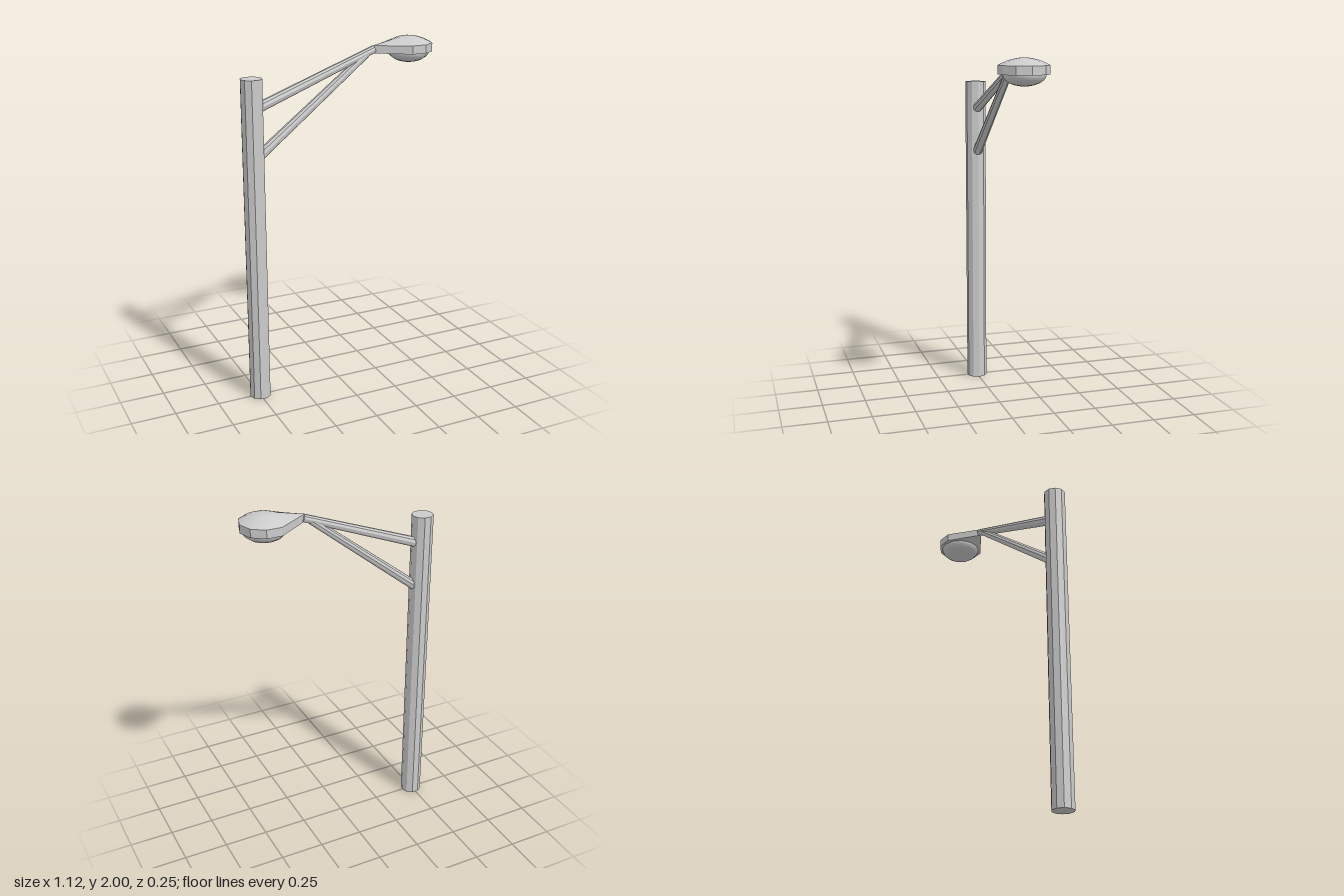
import * as THREE from 'three';

const SIDES = 10;
const flat = new THREE.MeshStandardMaterial({ color: 0xcccccc, flatShading: true });
const smooth = new THREE.MeshStandardMaterial({ color: 0xcccccc });

function mesh(name, geometry, material) {
  const m = new THREE.Mesh(geometry, material);
  m.name = name;
  return m;
}

// Tapered tube between two points in the z = 0 plane
function arm(name, x0, y0, x1, y1, r0, r1) {
  const from = new THREE.Vector3(x0, y0, 0), to = new THREE.Vector3(x1, y1, 0);
  const m = mesh(name, new THREE.CylinderGeometry(r1, r0, from.distanceTo(to), SIDES), flat);
  m.position.copy(from).lerp(to, 0.5);
  m.rotation.z = Math.atan2(y1 - y0, x1 - x0) - Math.PI / 2;
  return m;
}

// Teardrop outline: a ten-sided disc drawn out to a neck on the -x side
const CENTRE = 0.425, RADIUS = 0.133;
function outline(j) {
  const a = (j / SIDES) * Math.PI * 2;
  let x = Math.cos(a) * RADIUS, z = Math.sin(a) * RADIUS;
  let neck = 0;
  if (j === 5) { x = -0.22; z = 0; neck = 1; }
  if (j === 4 || j === 6) { x = -0.15; z = 0.05 * Math.sign(z); neck = 0.7; }
  return { x, z, neck };
}

// Skin through scaled copies of the outline, listed from bottom to top;
// each ring is [scale, height at the round end, height at the neck]
function loft(rings) {
  const positions = [], index = [];
  rings.forEach(([s, y, yNeck], i) => {
    for (let j = 0; j < SIDES; j++) {
      const p = outline(j);
      positions.push(CENTRE + p.x * s, y + (yNeck - y) * p.neck, p.z * s);
      if (i === rings.length - 1) continue;
      const a = i * SIDES + j, b = i * SIDES + (j + 1) % SIDES;
      index.push(a, a + SIDES, b, b, a + SIDES, b + SIDES);
    }
  });
  const g = new THREE.BufferGeometry();
  g.setAttribute('position', new THREE.Float32BufferAttribute(positions, 3));
  g.setIndex(index);
  g.computeVertexNormals();
  return g;
}

export function createModel() {
  const model = new THREE.Group();
  model.name = 'streetLight';

  // Pole
  const pole = mesh('pole', new THREE.CylinderGeometry(0.06, 0.06, 1.835, SIDES), flat);
  pole.position.set(-0.497, 0.9175, 0);
  pole.rotation.y = Math.PI / 2;
  model.add(pole);

  // Bracket arms
  model.add(arm('upperArm', -0.46, 1.68, 0.215, 1.939, 0.028, 0.021));
  model.add(arm('lowerArm', -0.46, 1.421, 0.17, 1.917, 0.028, 0.021));

  // Lamp head: flat underside, upright rim and domed cover
  const head = new THREE.Group();
  head.name = 'lampHead';
  const bottom = 1.916, top = 1.962, rise = 0.038;
  head.add(mesh('headUnderside', loft([[0.001, bottom, bottom], [1, bottom, bottom]]), smooth));
  head.add(mesh('headRim', loft([[1, bottom, bottom], [1, top, top - 0.004]]), flat));
  const dome = [1, 0.85, 0.68, 0.5, 0.3, 0.12, 0.001].map(
    (s) => [s, top + rise * (1 - s * s), top - 0.004 * s + rise * (1 - s) * (1 + 0.6 * s * (1 - s))]);
  head.add(mesh('headCover', loft(dome), smooth));

  // Lamp bowl: flattened lower hemisphere
  const bowl = mesh('lampBowl', new THREE.SphereGeometry(0.114, 12, 6, 0, Math.PI * 2, Math.PI / 2, Math.PI / 2), smooth);
  bowl.scale.y = 0.06 / 0.114;
  bowl.position.set(0.428, bottom, 0);
  head.add(bowl);

  model.add(head);
  return model;
}
